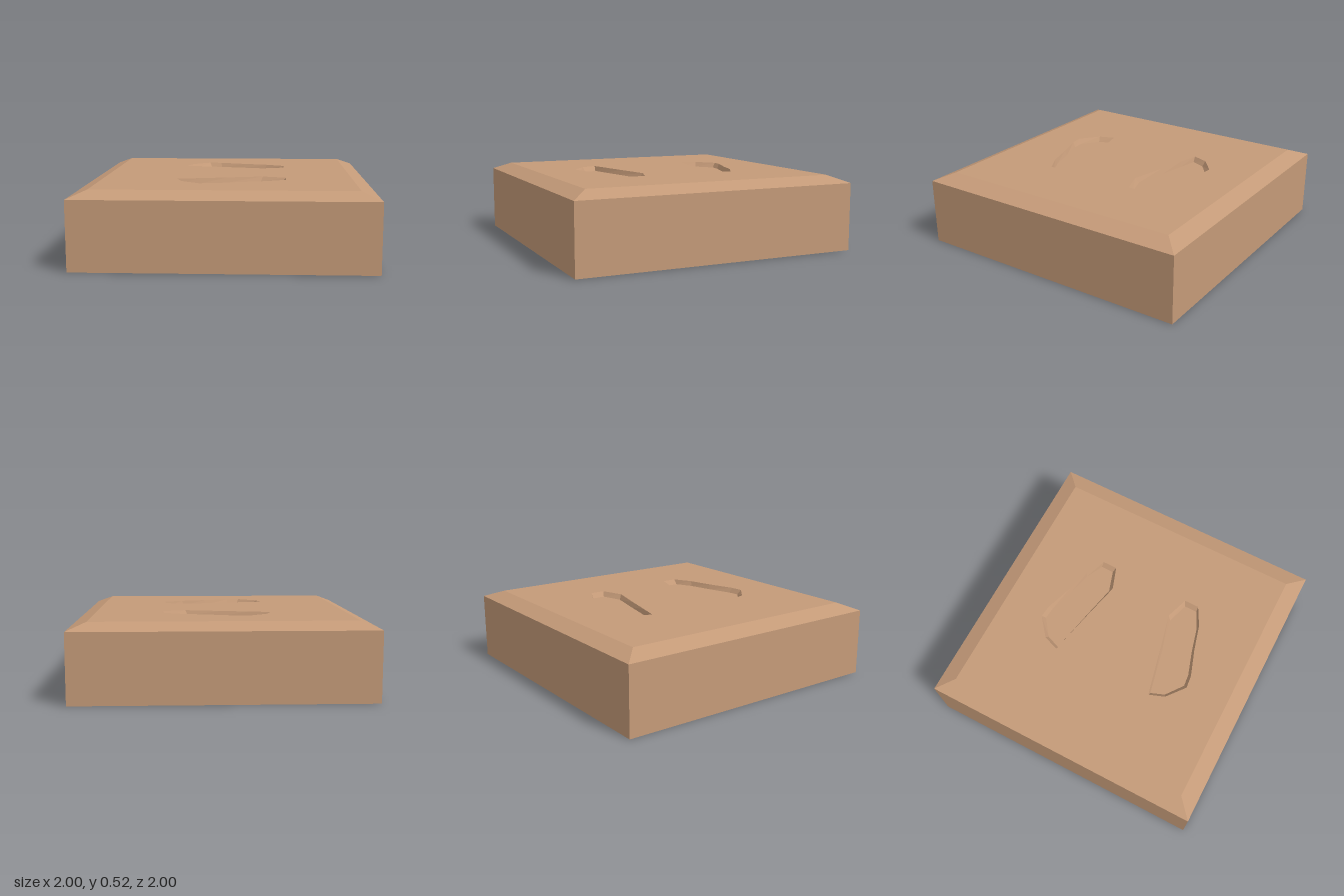
import * as THREE from 'three';

const BASE_Y = 0, SHOULDER_Y = 0.47, TOP_Y = 0.52, PIT_Y = 0.485;

// Loops are plan points [x, -z], counter-clockwise seen from above
const rectangle = (w, d) => [[-w, -d], [w, -d], [w, d], [-w, d]];

// Outline of the sunken print at the back
const backPrint = [
  [-0.35, 0.37], [-0.2, 0.335], [0, 0.29], [0.25, 0.23], [0.41, 0.285],
  [0.41, 0.39], [0.28, 0.46], [0.1, 0.51], [-0.09, 0.575], [-0.18, 0.585], [-0.31, 0.48],
];
const frontPrint = backPrint.map(([x, y]) => [x, -y]).reverse();

// Shrinks a print about its middle to get the edge of its floor
function shrink(loop) {
  const cx = 0.03, cy = Math.sign(loop[0][1]) * 0.4;
  return loop.map(([x, y]) => [cx + (x - cx) * 0.93, cy + (y - cy) * 0.87]);
}

// Faceted strip joining loop a at height ya to loop b at height yb
function band(a, ya, b, yb) {
  const pos = [];
  const at = (loop, i, y) => [loop[i][0], y, -loop[i][1]];
  for (let i = 0; i < a.length; i++) {
    const j = (i + 1) % a.length;
    const p = at(a, i, ya), q = at(a, j, ya), r = at(b, j, yb), s = at(b, i, yb);
    pos.push(...p, ...q, ...r, ...p, ...r, ...s);
  }
  const geo = new THREE.BufferGeometry();
  geo.setAttribute('position', new THREE.Float32BufferAttribute(pos, 3));
  geo.computeVertexNormals();
  return geo;
}

// Flat horizontal face, with optional holes
function plate(loop, y, holes = []) {
  const vectors = (l) => l.map(([u, v]) => new THREE.Vector2(u, v));
  const shape = new THREE.Shape(vectors(loop));
  holes.forEach((h) => shape.holes.push(new THREE.Path(vectors(h))));
  return new THREE.ShapeGeometry(shape).rotateX(-Math.PI / 2).translate(0, y, 0);
}

export function createModel() {
  const group = new THREE.Group();
  const clay = new THREE.MeshStandardMaterial({ color: 0xc49a78, flatShading: true });
  clay.name = 'clay';
  const add = (name, geo, parent = group) => {
    const mesh = new THREE.Mesh(geo, clay);
    mesh.name = name;
    parent.add(mesh);
  };

  // Square block with a shallow bevel around the top
  const outer = rectangle(1, 1), inner = rectangle(0.875, 0.885);
  add('sides', band(outer, BASE_Y, outer, SHOULDER_Y));
  add('bevel', band(outer, SHOULDER_Y, inner, TOP_Y));
  add('top', plate(inner, TOP_Y, [backPrint, frontPrint]));
  add('bottom', new THREE.PlaneGeometry(2, 2).rotateX(Math.PI / 2));

  // Two mirrored sunken prints with sloping walls
  for (const [name, loop] of [['backPrint', backPrint], ['frontPrint', frontPrint]]) {
    const print = new THREE.Group();
    print.name = name;
    const floor = shrink(loop);
    add(name + 'Walls', band(loop, TOP_Y, floor, PIT_Y), print);
    add(name + 'Floor', plate(floor, PIT_Y), print);
    group.add(print);
  }
  return group;
}
